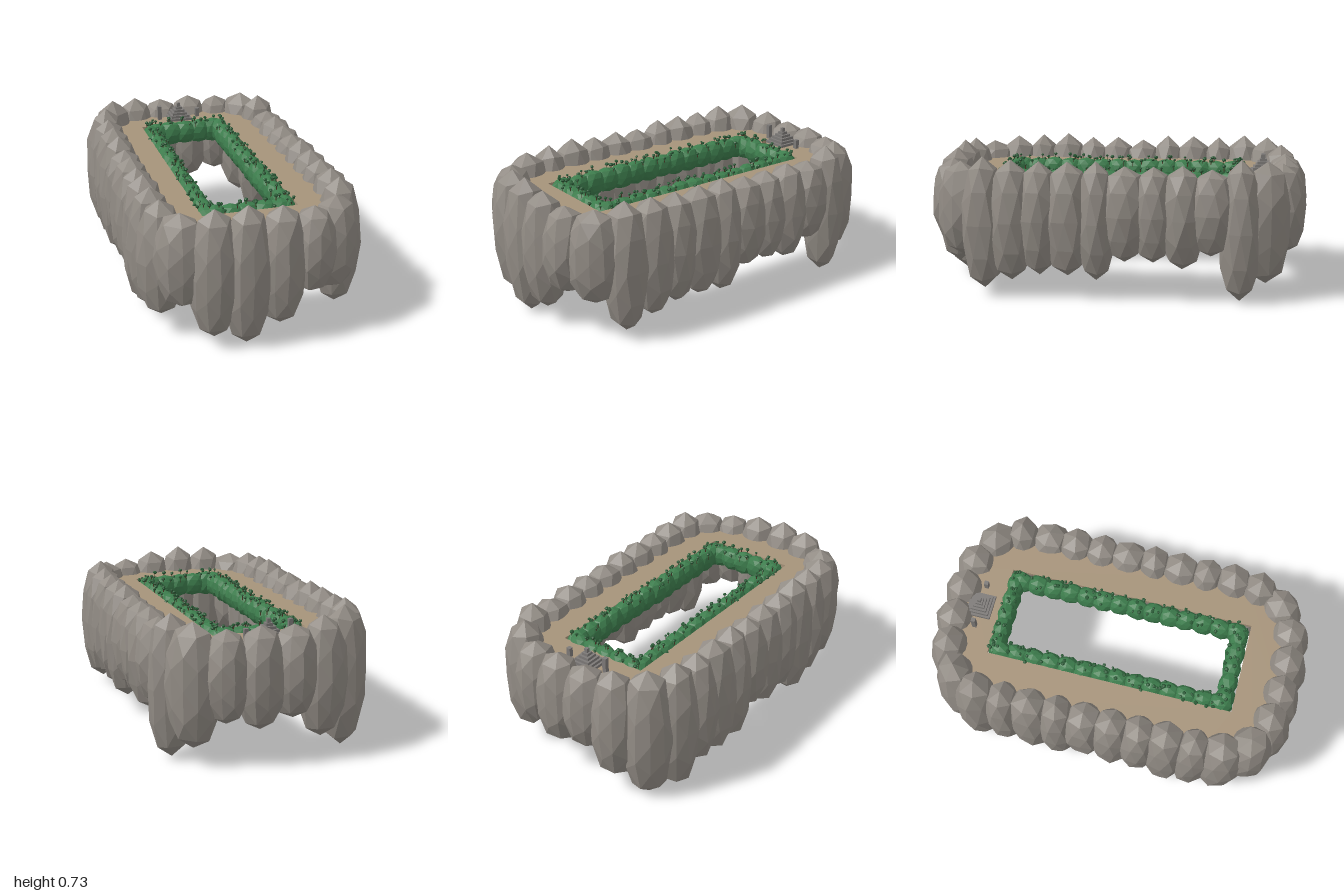
import * as THREE from 'three';
import { mergeGeometries } from 'three/addons/utils/BufferGeometryUtils.js';

const mat = (name, color) => {
  const m = new THREE.MeshStandardMaterial({ color, flatShading: true });
  m.name = name;
  return m;
};

// small seeded random generator
function seeded(seed) {
  return () => {
    seed = (seed * 16807) % 2147483647;
    return seed / 2147483647;
  };
}

// low-poly boulder: a subdivided icosahedron with full shoulders, roughened by a rule on position
function boulder(rx, ry, rz, seed, rough, shoulder) {
  const g = new THREE.IcosahedronGeometry(1, 1);
  const p = g.attributes.position;
  const v = new THREE.Vector3();
  for (let i = 0; i < p.count; i++) {
    v.fromBufferAttribute(p, i);
    const n = Math.sin(v.x * 5.3 + v.y * 3.1 + seed * 1.7) * Math.cos(v.z * 4.7 - v.y * 2.2 + seed * 2.3);
    const k = (1 + rough * n) * Math.pow(Math.max(Math.hypot(v.x, v.z), 0.01), -shoulder);
    p.setXYZ(i, v.x * k * rx, v.y * ry, v.z * k * rz);
  }
  g.computeVertexNormals();
  return g;
}

function roundedRect(w, d, r) {
  const s = new THREE.Shape();
  s.moveTo(-w + r, -d);
  s.lineTo(w - r, -d);
  s.absarc(w - r, -d + r, r, -Math.PI / 2, 0);
  s.lineTo(w, d - r);
  s.absarc(w - r, d - r, r, 0, Math.PI / 2);
  s.lineTo(-w + r, d);
  s.absarc(-w + r, d - r, r, Math.PI / 2, Math.PI);
  s.lineTo(-w, -d + r);
  s.absarc(-w + r, -d + r, r, Math.PI, Math.PI * 1.5);
  return s;
}

export function createModel() {
  const root = new THREE.Group();
  root.name = 'floatingIsland';
  const rock = mat('rock grey', 0x928c85);
  const earth = mat('earth brown', 0xa6937a);
  const moss = mat('hedge green', 0x3d7d4d);
  const leaf = mat('leaf dark green', 0x2a5a36);
  const bark = mat('bark brown', 0x4a3826);
  const stone = mat('temple grey', 0x7d7a78);
  const add = (name, geo, material, parent = root) => {
    const m = new THREE.Mesh(geo, material);
    m.name = name;
    parent.add(m);
    return m;
  };
  const GROUND = 0.6;

  // ground plate with a rectangular opening
  const plate = roundedRect(0.5, 0.9, 0.36);
  const hole = new THREE.Path();
  hole.moveTo(-0.245, -0.655);
  hole.lineTo(-0.245, 0.655);
  hole.lineTo(0.245, 0.655);
  hole.lineTo(0.245, -0.655);
  hole.closePath();
  plate.holes.push(hole);
  const ground = new THREE.ExtrudeGeometry(plate, { depth: 0.02, bevelEnabled: false, curveSegments: 8 });
  ground.rotateX(-Math.PI / 2);
  ground.translate(0, GROUND - 0.02, 0);
  add('ground', ground, earth);

  // ring of tall rocks; each entry of a list is the height of a rock's lowest point
  const cliffs = new THREE.Group();
  cliffs.name = 'cliffs';
  root.add(cliffs);
  let count = 0;
  const addRock = (x, z, bottom, rx, rz, yaw) => {
    const top = 0.732 - 0.22 * (bottom - 0.01);
    const g = boulder(rx, (top - bottom) / 2, rz, count, 0.06, 0.24);
    g.rotateY(yaw);
    g.translate(x, (top + bottom) / 2, z);
    add('cliffRock' + ++count, g, rock, cliffs);
  };
  const sides = { // from front to back
    1: [0.04, 0.09, 0.12, 0.12, 0.1, 0.2, 0.2, 0.17, 0.24, 0.01],
    '-1': [0.1, 0.07, 0.03, 0.12, 0.11, 0.17, 0.05, 0.06, 0.08, 0.01]
  };
  for (const s of [1, -1]) {
    sides[s].forEach((b, i) => {
      const end = i === 0 || i === 9;
      const wide = 0.117 + 0.012 * Math.sin(count * 2.7);
      addRock(s * (end ? 0.457 : 0.47), 0.655 - i * 0.1456, b, 0.119, wide, Math.sin(count * 2.1) * 0.2);
    });
  }
  const ends = { // from -x to +x
    1: [0.2, 0.05, 0.005, 0.09, 0.23, 0.2],
    '-1': [0.01, 0.1, 0.22, 0.18, 0.22, 0.09]
  };
  const endX = [-0.39, -0.243, -0.085, 0.085, 0.25, 0.39];
  for (const s of [1, -1]) {
    ends[s].forEach((b, i) => {
      const corner = i === 0 || i === 5;
      const shoulder = i === 1 || i === 4;
      const z = corner ? 0.785 : shoulder ? 0.86 : 0.88;
      const wide = corner ? 0.137 : 0.125 - 0.01 * (i === 4);
      addRock(endX[i], s * z, b, wide, 0.117, corner ? s * Math.sign(endX[i]) * 0.75 : 0);
    });
  }

  // mossy hedge around the opening, with little trees growing on it
  const rnd = seeded(77);
  const blobs = [], trunks = [], crowns = [];
  const path = [];
  for (let i = 0; i <= 13; i++) {
    const z = -0.595 + (1.18 * i) / 13;
    path.push([-0.205, z, 0], [0.205, z, 0]);
  }
  for (let i = 0; i < 5; i++) {
    const x = -0.17 + (0.34 * i) / 4;
    path.push([x, -0.625, 1], [x, 0.605, 1]);
  }
  path.forEach(([x, z, across], i) => {
    const g = boulder(0.048 + rnd() * 0.006, 0.064 + rnd() * 0.008, 0.072, i, 0.08, 0.15);
    g.rotateY(across * Math.PI / 2 + (rnd() - 0.5) * 0.4);
    g.translate(x, GROUND - 0.042, z);
    blobs.push(g);
    for (let k = 0; k < 5; k++) {
      const du = (rnd() - 0.5) * 0.086, dv = (rnd() - 0.5) * 0.1;
      const px = x + (across ? dv : du), pz = z + (across ? du : dv);
      const h = 0.01 + rnd() * 0.014, r = 0.007 + rnd() * 0.006;
      const y = GROUND + 0.024 - du * du * 18 - dv * dv * 6;
      const trunk = new THREE.CylinderGeometry(0.0018, 0.0025, h + 0.012, 5);
      trunk.translate(px, y + h / 2 - 0.006, pz);
      trunks.push(trunk);
      const crown = new THREE.IcosahedronGeometry(r, 0);
      crown.scale(1, 0.8, 1);
      crown.rotateY(rnd() * 6);
      crown.translate(px, y + h, pz);
      crowns.push(crown);
    }
  });
  add('hedge', mergeGeometries(blobs), moss);
  add('treeTrunks', mergeGeometries(trunks), bark);
  add('treeCrowns', mergeGeometries(crowns), leaf);

  // stepped temple and two pillars at the back
  const temple = new THREE.Group();
  temple.name = 'temple';
  temple.position.set(0, GROUND, -0.763);
  root.add(temple);
  const box = (name, w, h, x, y) => add(name, new THREE.BoxGeometry(w, h, w).translate(x, y + h / 2, 0), stone, temple);
  for (let i = 0; i < 5; i++) box('templeStep' + (i + 1), 0.132 - i * 0.024, 0.014, 0, i * 0.014);
  box('templeTop', 0.018, 0.022, 0, 0.07);
  box('tallPillar', 0.022, 0.08, -0.115, 0);
  box('shortPillar', 0.022, 0.05, 0.115, 0);

  return root;
}
